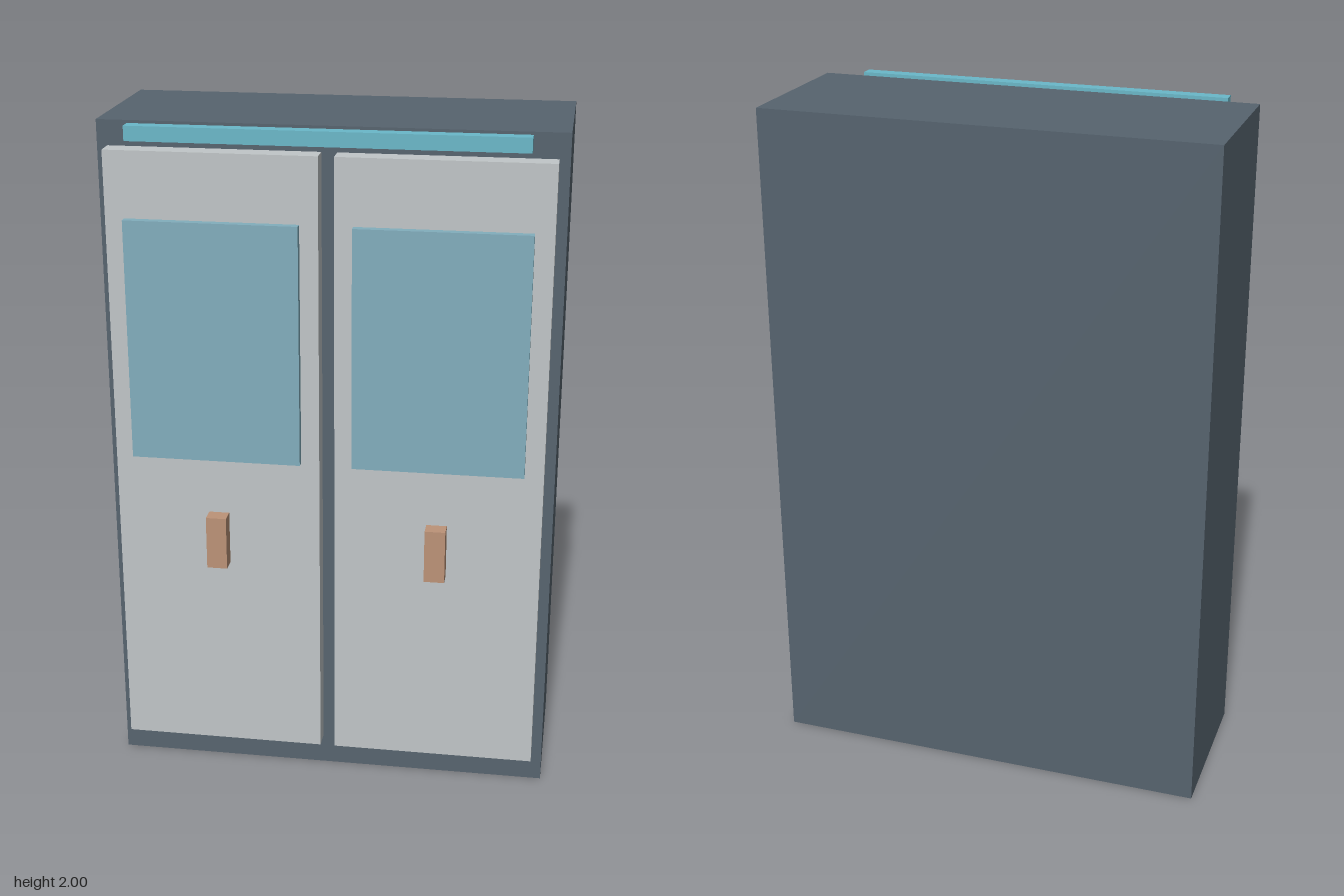
import * as THREE from 'three';

const paint = (name, color) => {
  const m = new THREE.MeshStandardMaterial({ color });
  m.name = name;
  return m;
};

// Box given by its lower and upper limits on each axis
function block(name, material, [x0, x1], [y0, y1], [z0, z1]) {
  const mesh = new THREE.Mesh(new THREE.BoxGeometry(x1 - x0, y1 - y0, z1 - z0), material);
  mesh.position.set((x0 + x1) / 2, (y0 + y1) / 2, (z0 + z1) / 2);
  mesh.name = name;
  return mesh;
}

export function createModel() {
  const slate = paint('slate', 0x57646f);
  const paleGrey = paint('pale grey', 0xc1c6c8);
  const glass = paint('blue glass', 0x82aebd);
  const cyan = paint('cyan', 0x6ab8c9);
  const copper = paint('copper', 0xbc9378);

  const model = new THREE.Group();
  model.name = 'cabinet';

  // Main case
  model.add(block('cabinetBody', slate, [-0.655, 0.655], [0, 2], [-0.295, 0.187]));

  // Two doors, each with a raised window panel and a handle
  for (const [side, s] of [['left', 1], ['right', -1]]) {
    const span = (a, b) => (s > 0 ? [a, b] : [-b, -a]);
    const door = new THREE.Group();
    door.name = `${side}DoorAssembly`;
    door.add(
      block(`${side}Door`, paleGrey, span(0.022, 0.625), [0.095, 1.928], [0.187, 0.247]),
      block(`${side}Window`, glass, span(0.075, 0.57), [1.032, 1.737], [0.247, 0.271]),
      block(`${side}Handle`, copper, span(0.292, 0.352), [0.7, 0.86], [0.247, 0.295]),
    );
    model.add(door);
  }

  // Light strip standing clear of the case, above the doors
  model.add(block('lightStrip', cyan, [-0.555, 0.555], [1.958, 2], [0.23, 0.27]));

  return model;
}
